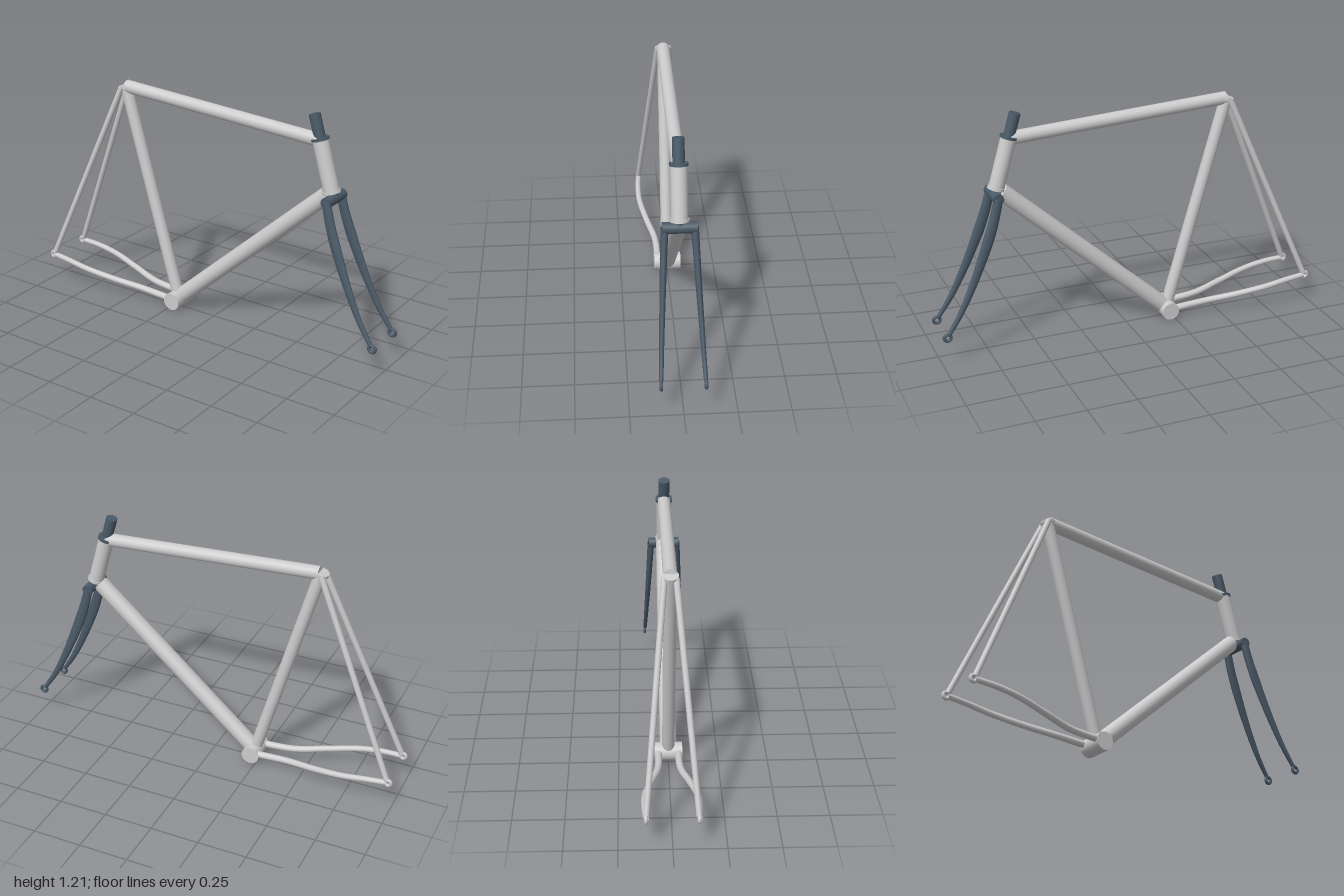
import * as THREE from 'three';

export function createModel() {
  const model = new THREE.Group();
  const grey = new THREE.MeshStandardMaterial({ color: 0xcccccc, side: THREE.DoubleSide });
  const dark = new THREE.MeshStandardMaterial({ color: 0x4a5a68, side: THREE.DoubleSide });
  const v = (x, y, z = 0) => new THREE.Vector3(x, y, z);

  function add(name, geometry, material) {
    const mesh = new THREE.Mesh(geometry, material);
    mesh.name = name;
    model.add(mesh);
    return mesh;
  }

  // Straight capped tube between two points
  function rod(name, a, b, r0, r1 = r0, material = grey) {
    const dir = b.clone().sub(a);
    const mesh = add(name, new THREE.CylinderGeometry(r1, r0, dir.length(), 32), material);
    mesh.position.copy(a).add(b).multiplyScalar(0.5);
    mesh.quaternion.setFromUnitVectors(v(0, 1), dir.normalize());
    return mesh;
  }

  // Curved tube whose depth (in the xy plane) and width (along z) vary along its length
  function taperedTube(name, points, depth, width, material) {
    const curve = new THREE.CatmullRomCurve3(points);
    const rings = 40, sides = 20;
    const geo = new THREE.TubeGeometry(curve, rings, 1, sides);
    const pos = geo.attributes.position;
    for (let i = 0; i < pos.count; i++) {
      const t = Math.floor(i / (sides + 1)) / rings;
      const c = curve.getPointAt(t);
      const d = depth(t), w = width(t);
      pos.setXYZ(i,
        c.x + (pos.getX(i) - c.x) * d,
        c.y + (pos.getY(i) - c.y) * d,
        c.z + (pos.getZ(i) - c.z) * w);
    }
    geo.computeVertexNormals();
    return add(name, geo, material);
  }

  // Main frame
  const bottom = v(-0.224, 0.047);
  const seatTop = v(-0.54, 1.15);
  rod('bottomBracketShell', v(-0.224, 0.047, -0.07), v(-0.224, 0.047, 0.07), 0.046);
  rod('seatTube', bottom, seatTop, 0.031);
  rod('topTube', v(-0.535, 1.15), v(0.595, 1.085), 0.033);
  rod('downTube', bottom, v(0.648, 0.825), 0.042);

  // Steering axis: head tube, bearing rings and steerer
  const axisAt = (y) => v(0.67 - (y - 0.84) * 0.288, y);
  rod('headTube', axisAt(0.845), axisAt(1.09), 0.039);
  rod('lowerHeadsetRing', axisAt(0.838), axisAt(0.85), 0.044);
  rod('upperHeadsetRing', axisAt(1.086), axisAt(1.098), 0.044, 0.044, dark);
  rod('steerer', axisAt(0.81), axisAt(1.208), 0.028, 0.028, dark);

  // Seat collar, square to the seat tube
  rod('seatCollar', v(-0.538, 1.143), v(-0.542, 1.157), 0.039);

  // Fork crown
  rod('forkCrown', v(0.682, 0.812, -0.08), v(0.682, 0.812, 0.08), 0.027, 0.027, dark);

  for (const s of [1, -1]) {
    const side = s > 0 ? 'front' : 'back';

    // Raked fork blade, deepest below the crown and thin at the tip
    taperedTube(side + 'ForkBlade', [
      v(0.68, 0.815, s * 0.068), v(0.708, 0.71, s * 0.074), v(0.75, 0.59, s * 0.08),
      v(0.83, 0.4, s * 0.09), v(0.9, 0.262, s * 0.097), v(0.961, 0.168, s * 0.102),
    ], (t) => t < 0.3 ? 0.023 + 0.015 * t : 0.0275 - 0.024 * (t - 0.3),
    (t) => 0.018 - 0.008 * t, dark);

    // Wheel mounts
    add(side + 'ForkDropout', new THREE.TorusGeometry(0.017, 0.008, 12, 28), dark)
      .position.set(0.972, 0.15, s * 0.103);
    add(side + 'RearDropout', new THREE.TorusGeometry(0.015, 0.009, 12, 28), grey)
      .position.set(-0.976, 0.15, s * 0.121);

    // Rear triangle
    rod(side + 'SeatStay', v(-0.969, 0.16, s * 0.12), v(-0.55, 1.148, s * 0.027), 0.014, 0.015);
    const round = (t) => 0.018 - 0.004 * t;
    taperedTube(side + 'ChainStay', [
      v(-0.224, 0.052, s * 0.05), v(-0.42, 0.067, s * 0.056), v(-0.58, 0.092, s * 0.093),
      v(-0.74, 0.121, s * 0.124), v(-0.86, 0.14, s * 0.127), v(-0.968, 0.149, s * 0.121),
    ], round, round, grey);
  }

  return model;
}
